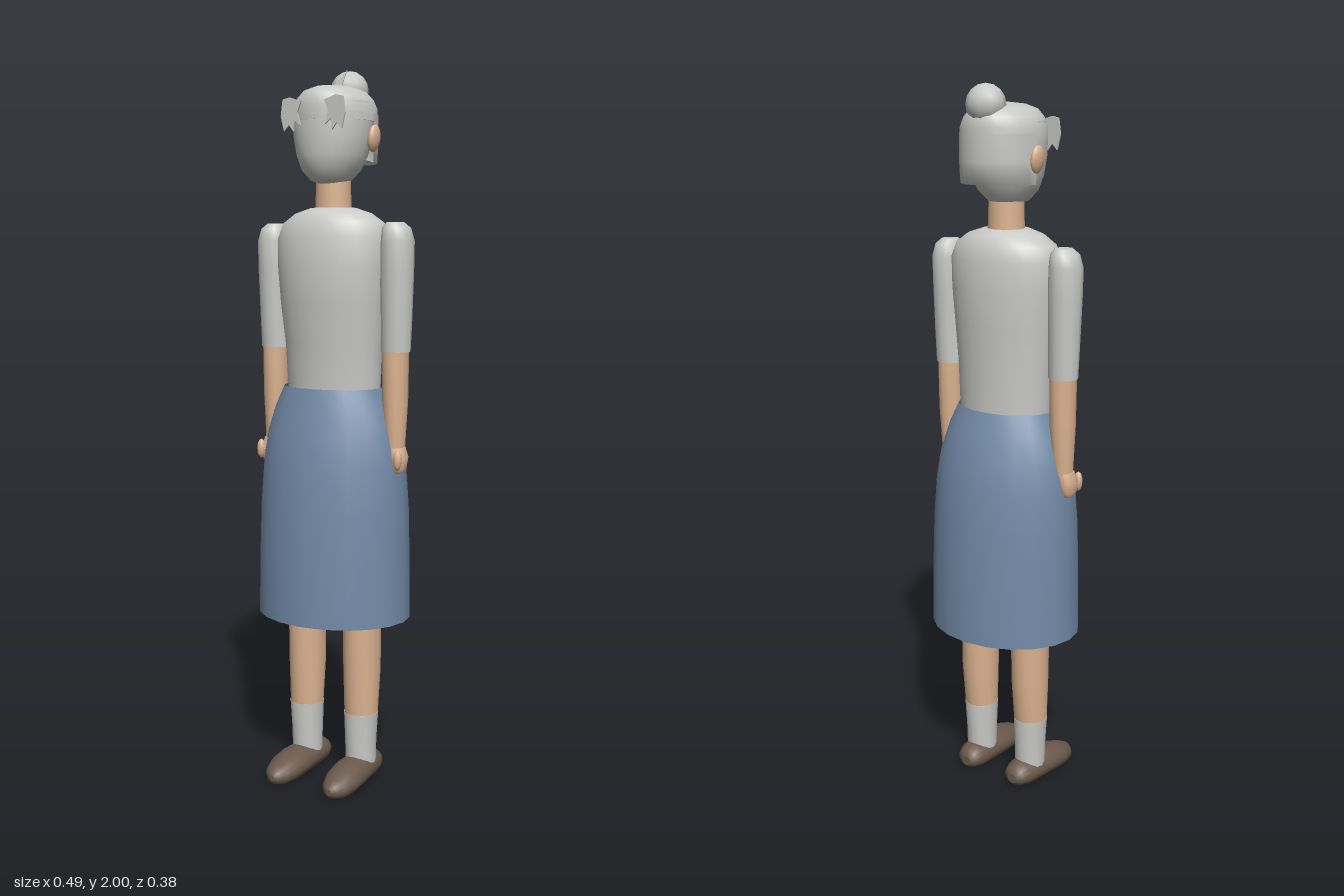
import * as THREE from 'three';

const mat = (name, color, side = THREE.FrontSide) => {
  const m = new THREE.MeshStandardMaterial({ color, side });
  m.name = name;
  return m;
};

// Surface through elliptical rings [y, centreX, centreZ, radiusX, radiusZ], listed upwards
function loft(rows, { sides = 20, from = 0, to = Math.PI * 2, capped = true } = {}) {
  const pos = [], index = [];
  const full = to - from > 6.28, n = full ? sides : sides + 1;
  const ring = ([y, cx, cz, rx, rz]) => {
    const start = pos.length / 3;
    for (let i = 0; i < n; i++) {
      const a = from + (to - from) * i / sides;
      pos.push(cx + rx * Math.sin(a), y, cz + rz * Math.cos(a));
    }
    return start;
  };
  const starts = rows.map(ring);
  for (let r = 0; r < rows.length - 1; r++) {
    for (let i = 0; i < sides; i++) {
      const j = (i + 1) % n, p = starts[r], q = starts[r + 1];
      index.push(p + i, p + j, q + i, p + j, q + j, q + i);
    }
  }
  if (capped && full) {
    [rows[0], rows[rows.length - 1]].forEach((row, top) => {
      const s = ring(row), c = pos.length / 3;
      pos.push(row[1], row[0], row[2]);
      for (let i = 0; i < sides; i++) {
        const j = (i + 1) % sides;
        if (top) index.push(s + i, s + j, c);
        else index.push(s + j, s + i, c);
      }
    });
  }
  const g = new THREE.BufferGeometry();
  g.setAttribute('position', new THREE.Float32BufferAttribute(pos, 3));
  g.setIndex(index);
  g.computeVertexNormals();
  return g;
}

// Thin plate cut from a 2D outline
function plate(points) {
  const shape = new THREE.Shape(points.map(([x, y]) => new THREE.Vector2(x, y)));
  return new THREE.ExtrudeGeometry(shape, { depth: 0.005, bevelEnabled: false });
}

export function createModel() {
  const model = new THREE.Group();
  model.name = 'woman';
  const grey = mat('light grey', 0xcacac8);
  const hairGrey = mat('hair grey', 0xc8c8c6, THREE.DoubleSide);
  const skin = mat('skin', 0xdcb390);
  const blue = mat('skirt blue', 0x738ba8, THREE.DoubleSide);
  const brown = mat('shoe brown', 0x6b5a4c);
  const add = (name, geometry, material, parent = model) => {
    const mesh = new THREE.Mesh(geometry, material);
    mesh.name = name;
    parent.add(mesh);
    return mesh;
  };

  // Clothes on the body
  add('skirt', loft([
    [0.48, 0, 0, 0.225, 0.188], [0.65, 0, 0, 0.224, 0.182], [0.8, 0, 0, 0.221, 0.174],
    [0.92, 0, 0, 0.213, 0.163], [1.0, 0, 0, 0.2, 0.147], [1.07, 0, 0.002, 0.177, 0.127],
    [1.13, 0, 0.005, 0.147, 0.108],
  ], { capped: false }), blue);
  add('sweater', loft([
    [1.12, 0, 0, 0.138, 0.1], [1.15, 0, 0, 0.14, 0.1], [1.25, 0, 0.002, 0.145, 0.104],
    [1.36, 0, 0.006, 0.156, 0.114], [1.46, 0, 0.006, 0.164, 0.12], [1.54, 0, 0.004, 0.167, 0.114],
    [1.58, 0, 0.003, 0.15, 0.103], [1.605, 0, 0.003, 0.112, 0.087], [1.62, 0, 0.003, 0.065, 0.06],
  ], { sides: 24 }), grey);
  add('neck', loft([
    [1.59, 0, 0.004, 0.052, 0.052], [1.66, 0, 0.004, 0.049, 0.049], [1.74, 0, 0.004, 0.048, 0.048],
  ], { sides: 16 }), skin);

  // Head, hair and bun
  const head = new THREE.Group();
  head.name = 'head';
  model.add(head);
  add('face', loft([
    [1.683, 0, 0.015, 0.03, 0.035], [1.693, 0, 0.016, 0.052, 0.062], [1.72, 0, 0.014, 0.078, 0.088],
    [1.76, 0, 0.01, 0.096, 0.101], [1.81, 0, 0.006, 0.107, 0.109], [1.87, 0, 0.003, 0.111, 0.112],
    [1.9, 0, 0, 0.106, 0.11],
  ], { sides: 24 }), grey, head);
  add('hairCrown', loft([
    [1.85, 0, -0.006, 0.113, 0.122], [1.885, 0, -0.006, 0.113, 0.122], [1.91, 0, -0.006, 0.1, 0.117],
    [1.93, 0, -0.006, 0.08, 0.103], [1.942, 0, -0.006, 0.048, 0.07], [1.947, 0, -0.006, 0.01, 0.015],
  ], { sides: 24 }), hairGrey, head);
  add('hairBack', loft([
    [1.75, 0, -0.006, 0.088, 0.09], [1.74, 0, -0.006, 0.113, 0.12], [1.8, 0, -0.006, 0.116, 0.124],
    [1.87, 0, -0.006, 0.115, 0.123],
  ], { sides: 14, from: Math.PI * 0.53, to: Math.PI * 1.47 }), hairGrey, head);
  add('bun', new THREE.SphereGeometry(0.053, 10, 8), hairGrey, head).position.set(0, 1.942, -0.084);

  // Stray wisp in front of the bun
  const wisp = add('hairWisp', plate([[-0.012, 1.938], [0.014, 1.938], [0.032, 1.99]]), hairGrey, head);
  wisp.rotation.y = 0.45;
  wisp.position.z = -0.008;

  for (const s of [1, -1]) {
    const side = s > 0 ? 'left' : 'right';

    // Jagged lock at the forehead
    const lock = add(side + 'ForeheadLock', plate([
      [0.036, 1.898], [0.072, 1.91], [0.094, 1.905], [0.1, 1.862], [0.09, 1.822],
      [0.074, 1.838], [0.06, 1.82], [0.058, 1.85], [0.038, 1.835], [0.048, 1.87],
    ].map(([x, y]) => [s * x, y])), hairGrey, head);
    lock.position.z = 0.108;

    const ear = add(side + 'Ear', new THREE.SphereGeometry(1, 10, 8), skin, head);
    ear.scale.set(0.014, 0.037, 0.027);
    ear.position.set(s * 0.115, 1.804, -0.016);
    ear.rotation.z = -s * 0.12;

    // Arm
    const arm = new THREE.Group();
    arm.name = side + 'Arm';
    model.add(arm);
    add('sleeve', loft([
      [1.233, s * 0.194, -0.001, 0.041, 0.039], [1.32, s * 0.196, -0.001, 0.043, 0.041],
      [1.45, s * 0.197, 0, 0.046, 0.046], [1.53, s * 0.198, 0, 0.045, 0.05],
      [1.565, s * 0.195, 0, 0.038, 0.042], [1.58, s * 0.191, 0, 0.024, 0.025],
    ], { sides: 12 }), grey, arm);
    add('forearm', loft([
      [0.965, s * 0.195, 0.002, 0.027, 0.03], [1.1, s * 0.194, 0, 0.035, 0.037],
      [1.25, s * 0.194, 0, 0.037, 0.038],
    ], { sides: 12 }), skin, arm);
    add('hand', loft([
      [0.902, s * 0.212, 0.008, 0.01, 0.018], [0.915, s * 0.211, 0.008, 0.019, 0.03],
      [0.945, s * 0.211, 0.006, 0.024, 0.033], [0.972, s * 0.203, 0.004, 0.023, 0.028],
    ], { sides: 10 }), skin, arm);
    const thumb = add('thumb', new THREE.SphereGeometry(1, 8, 6), skin, arm);
    thumb.scale.set(0.012, 0.028, 0.013);
    thumb.position.set(s * 0.222, 0.94, 0.038);

    // Leg
    const leg = new THREE.Group();
    leg.name = side + 'Leg';
    model.add(leg);
    add('thigh', loft([
      [0.52, s * 0.091, -0.002, 0.056, 0.062], [0.75, s * 0.093, 0, 0.066, 0.074],
      [1.0, s * 0.093, 0, 0.074, 0.082],
    ], { sides: 16 }), skin, leg);
    add('shin', loft([
      [0.2, s * 0.091, 0.002, 0.048, 0.05], [0.33, s * 0.091, -0.002, 0.053, 0.057],
      [0.54, s * 0.091, -0.002, 0.054, 0.06],
    ], { sides: 16 }), skin, leg);
    add('sock', loft([
      [0.04, s * 0.09, 0.002, 0.043, 0.045], [0.12, s * 0.09, 0.002, 0.045, 0.047],
      [0.2, s * 0.091, 0.002, 0.049, 0.051],
    ], { sides: 16 }), grey, leg);

    // Shoe: rings run from heel to toe, then the sole is flattened
    const shoe = loft([
      [-0.082, s * 0.086, -0.03, 0.016, 0.014], [-0.073, s * 0.087, -0.034, 0.034, 0.028],
      [-0.045, s * 0.088, -0.035, 0.045, 0.037], [0.01, s * 0.09, -0.035, 0.049, 0.04],
      [0.07, s * 0.092, -0.034, 0.054, 0.04], [0.12, s * 0.094, -0.028, 0.051, 0.037],
      [0.16, s * 0.095, -0.022, 0.038, 0.029], [0.18, s * 0.094, -0.021, 0.021, 0.019],
      [0.187, s * 0.093, -0.021, 0.008, 0.009],
    ], { sides: 16 }).rotateX(Math.PI / 2);
    const p = shoe.attributes.position;
    for (let i = 0; i < p.count; i++) p.setY(i, Math.max(0, p.getY(i)));
    shoe.computeVertexNormals();
    add('shoe', shoe, brown, leg);
  }
  return model;
}
